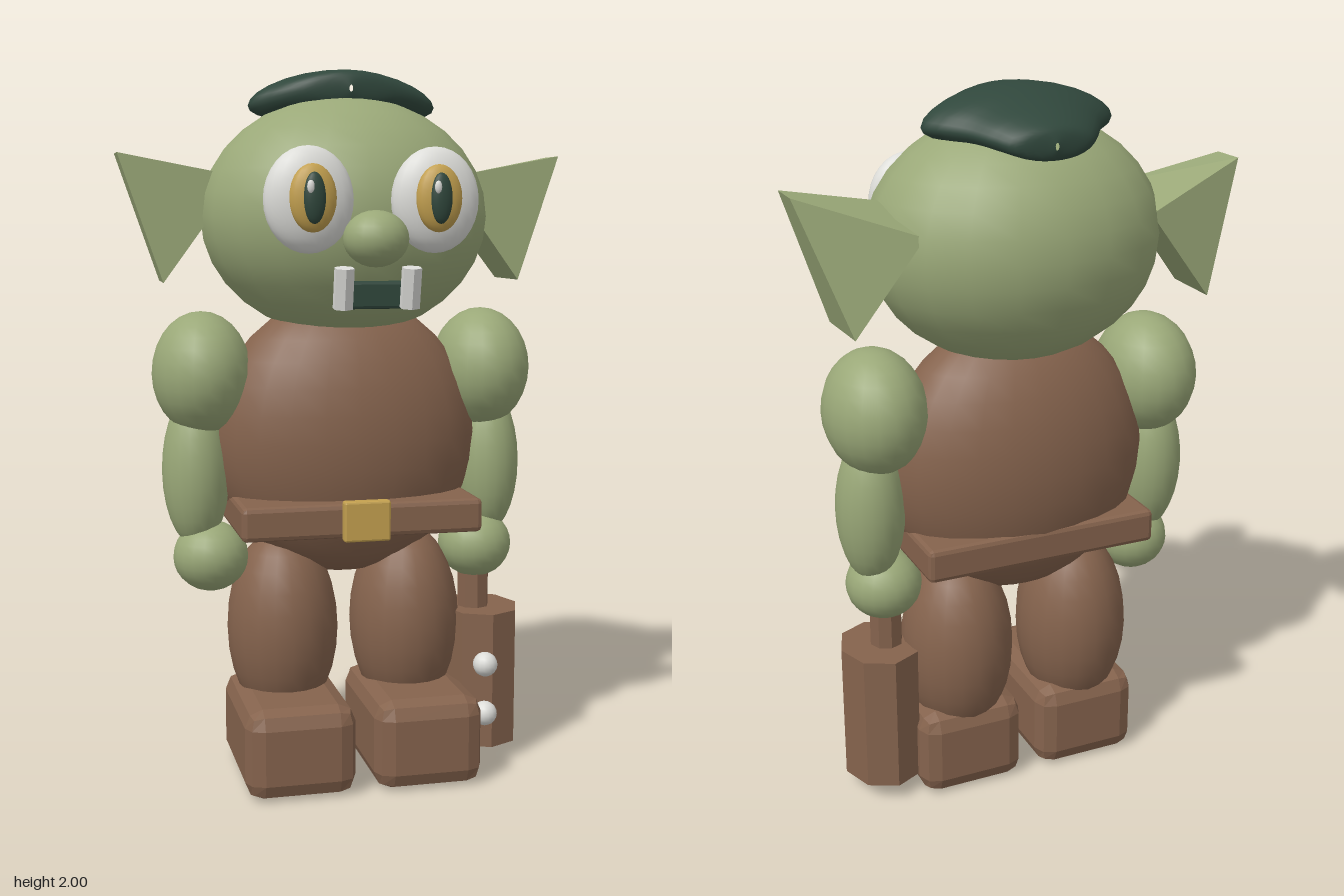
import * as THREE from 'three';
import { RoundedBoxGeometry } from 'three/addons/geometries/RoundedBoxGeometry.js';
import { ConvexGeometry } from 'three/addons/geometries/ConvexGeometry.js';
import { ParametricGeometry } from 'three/addons/geometries/ParametricGeometry.js';

function material(name, color, flatShading = false) {
  const m = new THREE.MeshStandardMaterial({ color, flatShading });
  m.name = name;
  return m;
}

export function createModel() {
  const model = new THREE.Group();
  model.name = 'goblin';

  const green = material('skin green', 0x9aa878);
  const brown = material('leather brown', 0x85634d);
  const dark = material('dark green', 0x30473c);
  const gold = material('gold', 0xc3a04f);
  const white = material('ivory white', 0xdcdcd8);

  function add(name, geometry, mat, x = 0, y = 0, z = 0) {
    const mesh = new THREE.Mesh(geometry, mat);
    mesh.name = name;
    mesh.position.set(x, y, z);
    model.add(mesh);
    return mesh;
  }
  function ball(name, mat, [x, y, z], [rx, ry, rz], w = 20, h = 14) {
    return add(name, new THREE.SphereGeometry(1, w, h).scale(rx, ry, rz), mat, x, y, z);
  }
  // chamfered box with flat faces
  function block(name, mat, [x, y, z], [w, h, d], bevel) {
    const geometry = new RoundedBoxGeometry(w, h, d, 1, bevel);
    geometry.computeVertexNormals();
    return add(name, geometry, mat, x, y, z);
  }
  // straight-sided prism with flat faces
  function prism(name, mat, [x, y, z], [rx, height, rz], sides) {
    const geometry = new THREE.CylinderGeometry(1, 1, height, sides).scale(rx, 1, rz).toNonIndexed();
    geometry.computeVertexNormals();
    return add(name, geometry, mat, x, y, z);
  }

  // torso, belt and head
  ball('torso', brown, [0, 0.975, -0.063], [0.385, 0.4, 0.228], 24, 16);
  block('belt', brown, [0, 0.77, -0.037], [0.68, 0.095, 0.47], 0.014);
  block('buckle', gold, [0, 0.775, 0.218], [0.13, 0.112, 0.034], 0.006);
  ball('head', green, [0, 1.597, -0.06], [0.408, 0.335, 0.332], 20, 16);

  // cap of hair: oval sections (half width, centre height, z) swept to the back
  const sections = new THREE.CatmullRomCurve3([
    [0.005, 1.945, 0.033], [0.13, 1.945, 0.012], [0.215, 1.938, -0.03], [0.268, 1.932, -0.08],
    [0.245, 1.926, -0.13], [0.19, 1.912, -0.19], [0.148, 1.896, -0.25], [0.105, 1.88, -0.295],
    [0.005, 1.875, -0.316],
  ].map(p => new THREE.Vector3(...p)));
  const s = new THREE.Vector3();
  const hair = new ParametricGeometry((u, v, target) => {
    sections.getPoint(Math.min(Math.max(v, 0), 1), s);
    const a = -u * Math.PI * 2;
    const w = Math.max(s.x, 0.003);
    const height = 0.07 * Math.sqrt(w / 0.268);
    const x = w * Math.cos(a);
    target.set(x, s.y + height * Math.sin(a) - 0.4 * x * x, s.z);
  }, 28, 32);
  add('hair', hair, dark);

  // face
  ball('nose', green, [0, 1.54, 0.315], [0.087, 0.074, 0.08]);
  block('mouth', dark, [0, 1.393, 0.283], [0.17, 0.072, 0.046], 0.008);

  for (const side of [1, -1]) {
    const label = side > 0 ? 'left' : 'right';
    const part = name => label + name;

    // ear wedge
    const ear = [
      [0.635, 1.77, -0.045], [0.515, 1.415, -0.04], [0.3, 1.707, -0.04],
      [0.635, 1.77, -0.148], [0.508, 1.415, -0.226], [0.32, 1.66, -0.235],
    ].map(([x, y, z]) => new THREE.Vector3(side * x, y, z));
    add(part('Ear'), new ConvexGeometry(ear), green);

    // eye, iris, pupil and glint
    ball(part('Eye'), white, [side * 0.17, 1.64, 0.275], [0.12, 0.139, 0.056], 24, 16);
    ball(part('Iris'), gold, [side * 0.168, 1.644, 0.32], [0.063, 0.088, 0.03]);
    ball(part('Pupil'), dark, [side * 0.168, 1.644, 0.341], [0.03, 0.066, 0.018]);
    ball(part('Glint'), white, [side * 0.168 - 0.012, 1.672, 0.355], [0.01, 0.017, 0.007], 10, 8);

    // tusk leaning forward at the top
    const tusk = prism(part('Tusk'), white, [side * 0.09, 1.413, 0.331], [0.028, 0.108, 0.024], 6);
    tusk.rotation.x = 0.2;

    // arm
    ball(part('Shoulder'), green, [side * 0.41, 1.162, -0.065], [0.14, 0.173, 0.172]);
    const forearm = ball(part('Forearm'), green, [side * 0.43, 0.885, -0.064], [0.096, 0.22, 0.104]);
    forearm.rotation.x = -0.04;
    ball(part('Hand'), green, [side * 0.393, 0.64, -0.045], [0.107, 0.1, 0.108]);

    // leg and boot
    ball(part('Leg'), brown, [side * 0.183, 0.42, -0.067], [0.161, 0.285, 0.172]);
    block(part('Boot'), brown, [side * 0.183, 0.128, 0.022], [0.312, 0.256, 0.456], 0.05);
  }

  // studded club in the left hand
  prism('clubHandle', brown, [0.39, 0.53, -0.043], [0.047, 0.2, 0.047], 8);
  prism('clubHead', brown, [0.411, 0.25, -0.043], [0.114, 0.4, 0.133], 8);
  for (const y of [0.155, 0.303]) ball('clubStud', white, [0.39, y, 0.084], [0.036, 0.036, 0.036], 16, 10);

  return model;
}
